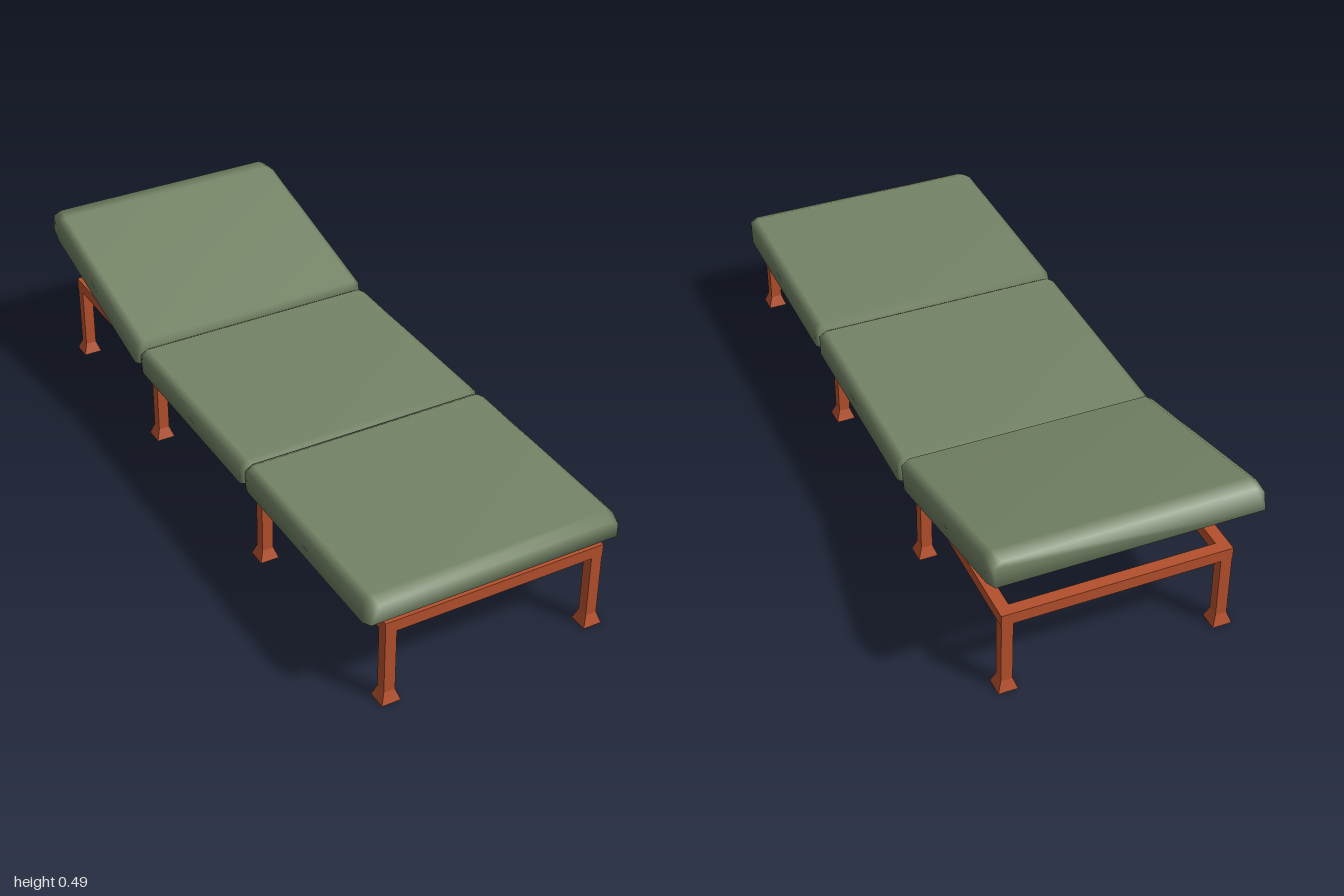
import * as THREE from 'three';

const fabric = new THREE.MeshStandardMaterial({ color: 0x748466 });
fabric.name = 'sage fabric';
const metal = new THREE.MeshStandardMaterial({ color: 0xb34f2c });
metal.name = 'rust metal';

const TUBE = 0.035, RAIL_X = 0.3125, RAIL_TOP = 0.262;
const LEG_Z = [0.972, 0.311, -0.365, -0.92];

// Soft pad running from z = 0 back to z = -length, its base at y = 0
function padGeometry(length, height, frontInset, backInset) {
  // each section: z, half width, bottom, top
  const sections = [
    [0, 0.371, 0.012, height - 0.014],
    [-frontInset, 0.378, 0, height],
    [-length + backInset, 0.378, 0, height],
    [-length, 0.373, 0.008, height - 0.012],
  ];
  const pos = [], idx = [], n = 6;
  for (const [z, w, b, t] of sections) {
    for (const [x, y] of [[-w, b], [w, b], [w, t - 0.015], [w - 0.022, t], [-w + 0.022, t], [-w, t - 0.015]]) {
      pos.push(x, y, z);
    }
  }
  for (let s = 0; s < sections.length - 1; s++) {
    for (let i = 0; i < n; i++) {
      const a = s * n + i, b = s * n + (i + 1) % n;
      idx.push(a, a + n, b, b, a + n, b + n);
    }
  }
  // end caps
  const e = (sections.length - 1) * n;
  for (let i = 1; i < n - 1; i++) {
    idx.push(0, i, i + 1, e, e + i + 1, e + i);
  }
  const g = new THREE.BufferGeometry();
  g.setAttribute('position', new THREE.Float32BufferAttribute(pos, 3));
  g.setIndex(idx);
  g.computeVertexNormals();
  return g;
}

export function createModel() {
  const model = new THREE.Group();
  model.name = 'sunLounger';

  const add = (parent, name, geometry, material, x, y, z) => {
    const mesh = new THREE.Mesh(geometry, material);
    mesh.name = name;
    mesh.position.set(x, y, z);
    parent.add(mesh);
    return mesh;
  };

  // Frame: two long rails joined by a cross rail at each pair of legs
  const frame = new THREE.Group();
  frame.name = 'frame';
  model.add(frame);
  const railY = RAIL_TOP - TUBE / 2;
  const railLength = LEG_Z[0] - LEG_Z[3] + TUBE;
  const railZ = (LEG_Z[0] + LEG_Z[3]) / 2;
  const sideRail = new THREE.BoxGeometry(TUBE, TUBE, railLength);
  const crossRail = new THREE.BoxGeometry(RAIL_X * 2 - TUBE, TUBE, TUBE);
  const legHeight = RAIL_TOP - TUBE - 0.033;
  const leg = new THREE.BoxGeometry(TUBE - 0.002, legHeight, TUBE - 0.002);

  // Flared square foot
  const foot = new THREE.CylinderGeometry(0.0165 * Math.SQRT2, 0.028 * Math.SQRT2, 0.033, 4)
    .rotateY(Math.PI / 4).toNonIndexed();
  foot.computeVertexNormals();

  for (const side of [-1, 1]) {
    add(frame, 'sideRail', sideRail, metal, side * RAIL_X, railY, railZ);
    for (const z of LEG_Z) {
      add(frame, 'leg', leg, metal, side * RAIL_X, 0.033 + legHeight / 2, z);
      add(frame, 'foot', foot, metal, side * RAIL_X, 0.0165, z);
    }
  }
  for (const z of LEG_Z) add(frame, 'crossRail', crossRail, metal, 0, railY, z);

  // Cushions: foot, seat and raised back
  add(model, 'footCushion', padGeometry(0.673, 0.081, 0.035, 0.02), fabric, 0, 0.261, 0.99);
  add(model, 'seatCushion', padGeometry(0.67, 0.076, 0.02, 0.02), fabric, 0, 0.261, 0.315);
  const back = add(model, 'backCushion', padGeometry(0.65, 0.087, 0.02, 0.05), fabric, 0, 0.262, -0.37);
  back.rotation.x = THREE.MathUtils.degToRad(14);

  return model;
}
